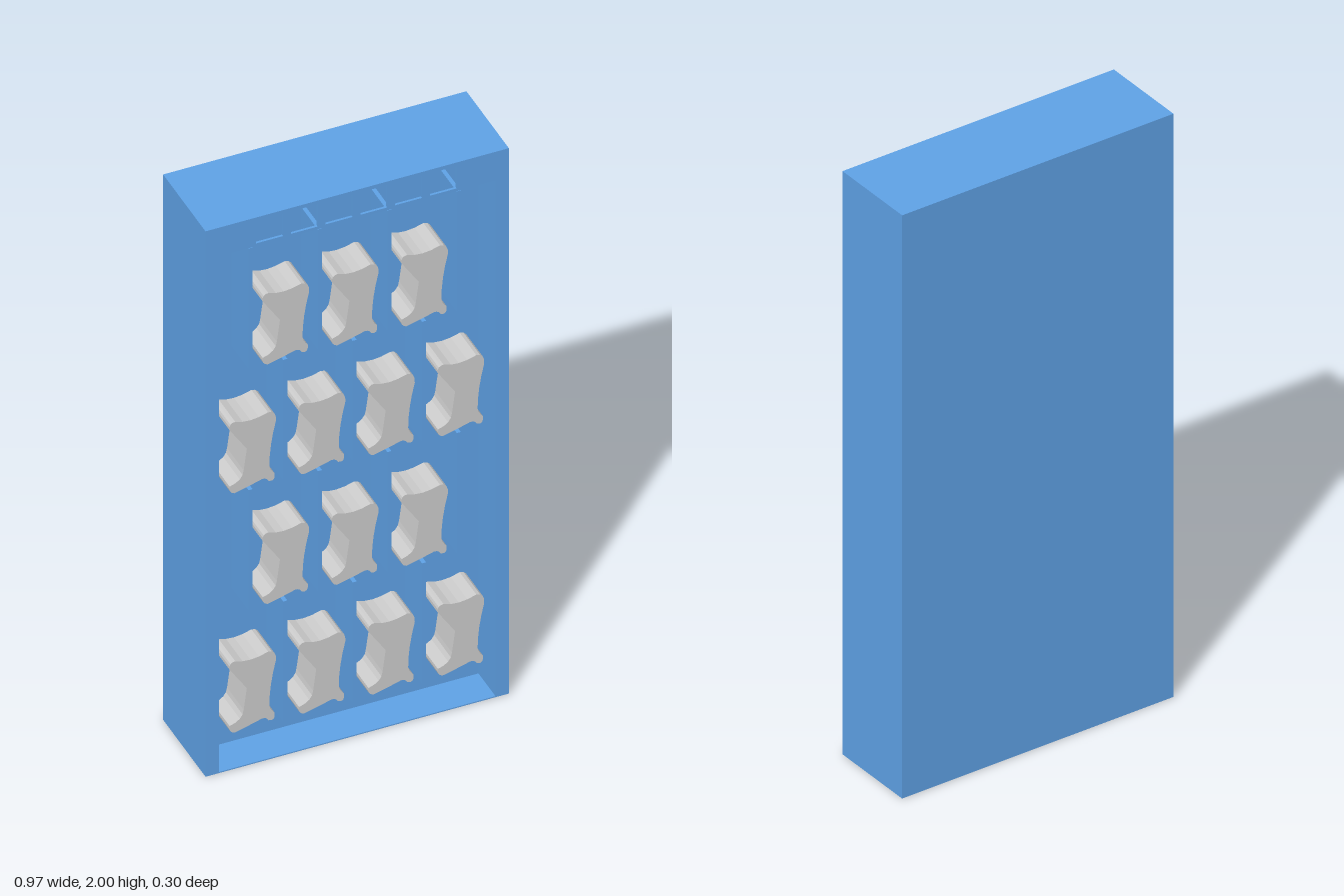
import * as THREE from 'three';

export function createModel() {
  const group = new THREE.Group();
  const blue = new THREE.MeshStandardMaterial({ color: 0x5fa2e6 });
  const grey = new THREE.MeshStandardMaterial({ color: 0xcccccc });
  const FRONT = 0.15, BACK = -0.15, INNER = 0.03; // z of front, rear and cavity back

  const add = (name, geometry, material, x = 0, y = 0, z = 0) => {
    const mesh = new THREE.Mesh(geometry, material);
    mesh.name = name;
    mesh.position.set(x, y, z);
    group.add(mesh);
  };
  const rect = (Type, x0, y0, x1, y1) => {
    const p = new Type();
    p.moveTo(x0, y0);
    p.lineTo(x1, y0);
    p.lineTo(x1, y1);
    p.lineTo(x0, y1);
    p.closePath();
    return p;
  };
  const extrude = (shape, depth) =>
    new THREE.ExtrudeGeometry(shape, { depth, bevelEnabled: false, curveSegments: 4 });

  // Cabinet: solid rear slab and a surround around the open cavity
  add('backPanel', new THREE.BoxGeometry(0.97, 2, INNER - BACK), blue, 0, 1, (INNER + BACK) / 2);
  const surround = rect(THREE.Shape, -0.485, 0, 0.485, 2);
  surround.holes.push(rect(THREE.Path, -0.442, 0.004, 0.442, 1.992));
  add('surround', extrude(surround, FRONT - INNER), blue, 0, 0, INNER);

  // Thin top panel with six square windows
  const header = rect(THREE.Shape, -0.442, 1.895, 0.442, 1.992);
  for (let i = 0; i < 6; i++) {
    const x = -0.28 + i * 0.111;
    header.holes.push(rect(THREE.Path, x - 0.043, 1.905, x + 0.043, 1.987));
  }
  add('windowPanel', extrude(header, 0.008), blue, 0, 0, FRONT - 0.008);

  // Irregular block: straight notch on the left, soft wavy outline elsewhere
  const block = new THREE.Shape();
  block.moveTo(-0.074, 0.108);
  block.quadraticCurveTo(-0.076, 0.132, -0.055, 0.132);
  block.quadraticCurveTo(-0.01, 0.112, 0.05, 0.134);
  block.quadraticCurveTo(0.078, 0.132, 0.075, 0.095);
  block.quadraticCurveTo(0.054, 0.01, 0.054, -0.064);
  block.quadraticCurveTo(0.056, -0.08, 0.071, -0.096);
  block.quadraticCurveTo(0.074, -0.128, 0.052, -0.118);
  block.quadraticCurveTo(0.042, -0.098, 0.02, -0.108);
  block.quadraticCurveTo(-0.02, -0.12, -0.058, -0.129);
  block.quadraticCurveTo(-0.078, -0.122, -0.073, -0.1);
  block.quadraticCurveTo(-0.03, -0.09, -0.028, -0.054);
  block.lineTo(-0.018, 0.022);
  block.closePath();
  const blockGeometry = extrude(block, FRONT - INNER - 0.002);
  const dividerGeometry = new THREE.BoxGeometry(0.013, 0.441, FRONT - INNER);

  // Four staggered rows of dividers and blocks
  const PITCH = 0.222;
  for (let row = 0; row < 4; row++) {
    const odd = row % 2;
    const dividerY = 1.673 - row * 0.443;
    for (let i = 0; i < 4 - odd; i++)
      add('divider', dividerGeometry, blue, (odd ? -0.23 : -0.341) + i * PITCH, dividerY, (FRONT + INNER) / 2);
    for (let i = 0; i < 3 + odd; i++)
      add('block', blockGeometry, grey, (odd ? -0.334 : -0.228) + i * PITCH, 1.577 - row * 0.439, INNER);
  }
  return group;
}
